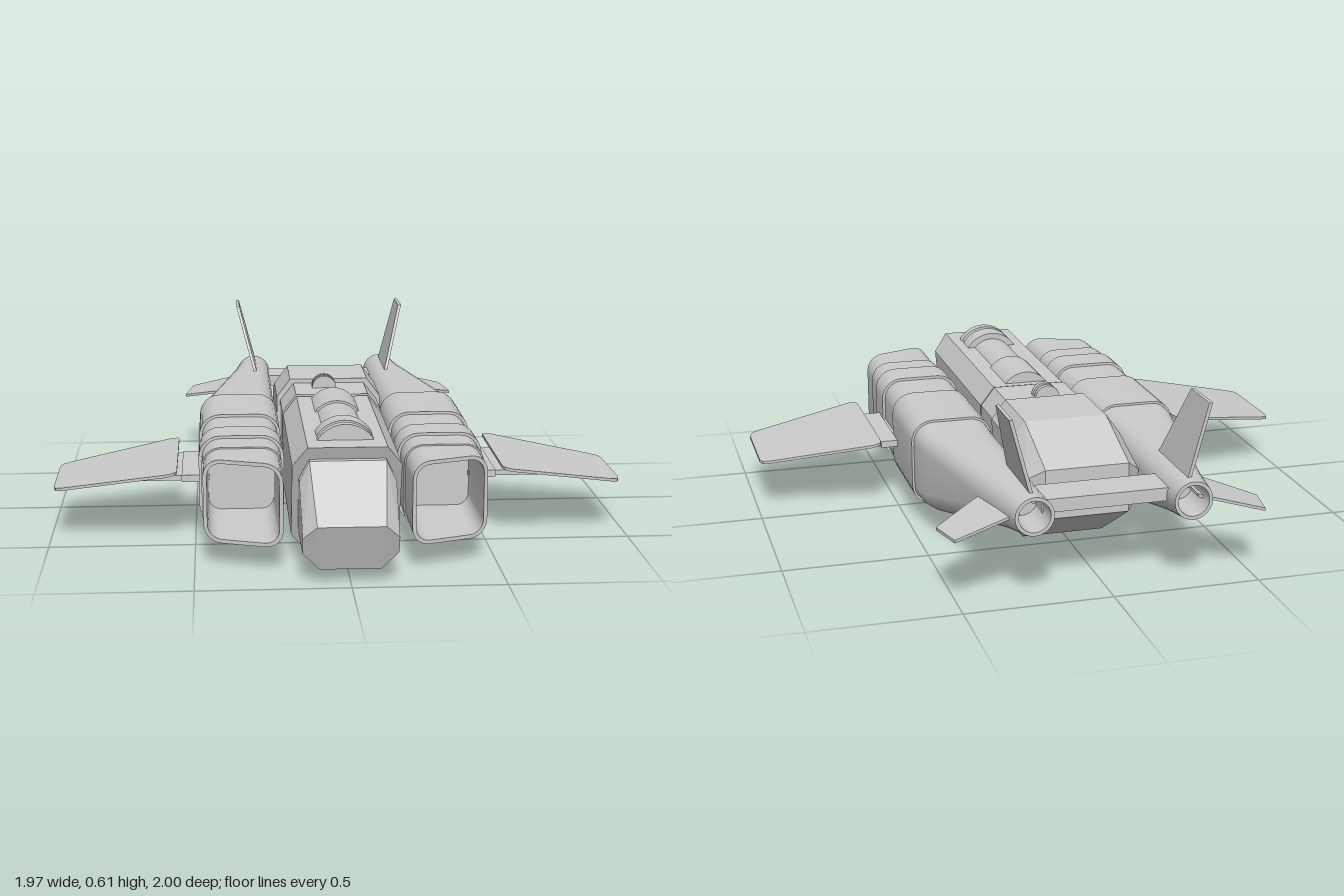
import * as THREE from 'three';
import { toCreasedNormals } from 'three/addons/utils/BufferGeometryUtils.js';
import { ConvexGeometry } from 'three/addons/geometries/ConvexGeometry.js';

const material = new THREE.MeshStandardMaterial({ color: 0xcccccc });

// Rounded-rectangle ring, counter-clockwise seen from +z; tilt slants z across the width
function ring(z, x0, x1, y0, y1, r, tilt = 0) {
  const pts = [], n = 6;
  const corners = [[x1 - r, y1 - r], [x0 + r, y1 - r], [x0 + r, y0 + r], [x1 - r, y0 + r]];
  corners.forEach(([cx, cy], k) => {
    for (let i = 0; i <= n; i++) {
      const a = (k + i / n) * Math.PI / 2;
      const x = cx + r * Math.cos(a);
      pts.push(new THREE.Vector3(x, cy + r * Math.sin(a), z + tilt * (x - 0.2)));
    }
  });
  return pts;
}

// Skin through a list of rings, closed with a fan at both ends
function loft(rings) {
  const n = rings[0].length, pos = [];
  const tri = (...v) => v.forEach((p) => pos.push(p.x, p.y, p.z));
  const centre = (r) => r.reduce((s, p) => s.add(p), new THREE.Vector3()).divideScalar(n);
  const first = rings[0], last = rings[rings.length - 1];
  const c0 = centre(first), c1 = centre(last);
  for (let j = 0; j < n; j++) {
    const k = (j + 1) % n;
    tri(c0, first[j], first[k]);
    tri(c1, last[k], last[j]);
    for (let i = 0; i + 1 < rings.length; i++) {
      const a = rings[i], b = rings[i + 1];
      tri(a[j], b[j], a[k]);
      tri(a[k], b[j], b[k]);
    }
  }
  const g = new THREE.BufferGeometry();
  g.setAttribute('position', new THREE.Float32BufferAttribute(pos, 3));
  return toCreasedNormals(g, 0.5);
}

// Convex solid from the points of its left half
function solid(half) {
  return new ConvexGeometry(half.flatMap(([x, y, z]) => [
    new THREE.Vector3(x, y, z), new THREE.Vector3(-x, y, z)]));
}

// Left half of an eight-sided section; zAt gives z for a height
function octagon(w, flat, y0, y1, chamfer, zAt) {
  return [[flat, y1], [w, y1 - chamfer], [w, y0 + chamfer], [flat, y0]]
    .map(([x, y]) => [x, y, zAt(y)]);
}

function prism(w, flat, y0, y1, chamfer, zFront, zBack) {
  return solid([...octagon(w, flat, y0, y1, chamfer, () => zFront),
    ...octagon(w, flat, y0, y1, chamfer, () => zBack)]);
}

function extrude(points, depth) {
  const shape = new THREE.Shape(points.map(([a, b]) => new THREE.Vector2(a, b)));
  return new THREE.ExtrudeGeometry(shape, { depth, bevelEnabled: false });
}

// Thin plate drawn in (x, z), sloping in y along x
function wingPlate(points, thick, x0, y0, slope) {
  const g = extrude(points.map(([x, z]) => [x, -z]), thick).rotateX(-Math.PI / 2);
  const p = g.attributes.position;
  for (let i = 0; i < p.count; i++) p.setY(i, p.getY(i) - thick / 2 + y0 + slope * (p.getX(i) - x0));
  g.computeVertexNormals();
  return g;
}

// Thin plate drawn in (z, y), leaning in x along y
function finPlate(points, thick, x0, y0, slope) {
  const g = extrude(points.map(([z, y]) => [-z, y]), thick).rotateY(Math.PI / 2);
  const p = g.attributes.position;
  for (let i = 0; i < p.count; i++) p.setX(i, p.getX(i) - thick / 2 + x0 + slope * (p.getY(i) - y0));
  g.computeVertexNormals();
  return g;
}

// Mirrored copy across x = 0 with the winding kept outward
function mirrored(source) {
  const g = source.index ? source.toNonIndexed() : source.clone();
  for (const name of ['position', 'normal']) {
    const a = g.attributes[name];
    for (let i = 0; i < a.count; i += 3) {
      const v = [0, 2, 1].map((k) => [-a.getX(i + k), a.getY(i + k), a.getZ(i + k)]);
      v.forEach((q, k) => a.setXYZ(i + k, ...q));
    }
  }
  return g;
}

export function createModel() {
  const model = new THREE.Group();
  model.name = 'dropship';
  const add = (name, geometry) => {
    const mesh = new THREE.Mesh(geometry, material);
    mesh.name = name;
    model.add(mesh);
  };
  const addPair = (name, geometry) => {
    add(name + 'Left', geometry);
    add(name + 'Right', mirrored(geometry));
  };

  // Fuselage: faceted nose, slanted front hull, recessed joint, mid and rear hull
  add('nose', solid([
    [0.125, 0.37, 0.82], [0.11, 0.2, 1], [0.1, 0.045, 0.945],
    [0.158, 0.3, 0.82], [0.155, 0.155, 0.97], [0.155, 0.1, 0.95],
    [0.125, 0.37, 0.6], [0.158, 0.3, 0.6], [0.158, 0.1, 0.6], [0.1, 0.045, 0.6],
  ]));
  add('frontHull', solid([
    ...octagon(0.18, 0.13, 0.022, 0.412, 0.065, (y) => 0.66 + (y - 0.022) * 0.385),
    ...octagon(0.18, 0.13, 0.022, 0.412, 0.065, () => 0.03),
  ]));
  add('hullJoint', prism(0.17, 0.12, 0.032, 0.402, 0.065, 0.035, 0.01));
  add('midHull', prism(0.182, 0.132, 0.018, 0.416, 0.065, 0.015, -0.2));
  add('rearHull', solid([
    ...octagon(0.195, 0.145, 0, 0.432, 0.068, () => -0.19),
    [0.145, 0.432, -0.45], [0.195, 0.364, -0.45],
    [0.145, 0, -0.42], [0.195, 0.068, -0.42],
    [0.145, 0.342, -0.705], [0.195, 0.3, -0.655],
    [0.145, 0.17, -0.705], [0.195, 0.205, -0.655],
  ]));

  // Sunken stepped cylinder along the top of the front hull
  const drums = [[0.71, 0.675, 0.11], [0.675, 0.65, 0.09], [0.65, 0.57, 0.11],
    [0.57, 0.285, 0.088], [0.285, 0.06, 0.096]];
  drums.forEach(([z0, z1, r], i) => add('roofDrum' + (i + 1),
    new THREE.CylinderGeometry(r, r, z0 - z1, 40).rotateX(Math.PI / 2)
      .translate(0, 0.355, (z0 + z1) / 2)));

  // Two small upright discs behind the joint
  for (const z of [-0.11, -0.147]) {
    add('roofDisc', new THREE.CylinderGeometry(0.045, 0.045, 0.02, 28).rotateX(Math.PI / 2)
      .translate(-0.021, 0.415, z));
  }

  // Engine nacelle: intake duct, banded body, taper to a round open nozzle
  const body = (z, d, tilt) => ring(z, 0.205 - d, 0.475 + d, 0.075 - d, 0.367 + d, 0.065 + d, tilt);
  const slant = -0.37;
  const rings = [
    body(0.4, -0.022), body(0.83, -0.018, slant), body(0.83, -0.005, slant),
    body(0.605, -0.005), body(0.605, 0), body(0.48, 0),
    body(0.48, 0.01), body(0.345, 0.01), body(0.345, 0), body(0.155, 0),
    body(0.155, 0.01), body(-0.185, 0.01), body(-0.185, 0.002),
    ring(-0.24, 0.204, 0.473, 0.075, 0.367, 0.066),
    ring(-0.31, 0.203, 0.46, 0.08, 0.367, 0.07),
    ring(-0.85, 0.2, 0.354, 0.208, 0.367, 0.072),
    ring(-1, 0.2, 0.33, 0.237, 0.367, 0.0649),
    ring(-1, 0.212, 0.318, 0.249, 0.355, 0.0529),
    ring(-0.85, 0.215, 0.315, 0.252, 0.352, 0.0499),
  ];
  addPair('nacelle', loft(rings));

  // Drooping wing and the mount that carries it
  addPair('wing', wingPlate([
    [0.56, 0.47], [0.567, 0.49], [0.592, 0.5], [0.955, 0.432], [0.977, 0.42], [0.986, 0.39],
    [0.986, 0.108], [0.977, 0.083], [0.953, 0.07], [0.592, -0.027], [0.567, -0.02], [0.56, 0],
  ], 0.01, 0.56, 0.249, -0.162));
  addPair('wingMount', new THREE.BoxGeometry(0.28, 0.018, 0.325).translate(0.59, 0.213, 0.247));
  addPair('wingMountCollar', new THREE.BoxGeometry(0.06, 0.024, 0.345).translate(0.515, 0.213, 0.247));

  // Tail: leaning fins, small drooping tailplanes and the bar joining the nacelles
  addPair('tailFin', finPlate([
    [-0.66, 0.33], [-0.79, 0.612], [-0.955, 0.612], [-0.955, 0.33],
  ], 0.012, 0.265, 0.365, 0.265));
  addPair('tailplane', wingPlate([
    [0.3, -0.66], [0.548, -0.842], [0.52, -0.985], [0.3, -0.948],
  ], 0.01, 0.33, 0.29, -0.26));
  add('tailBar', new THREE.BoxGeometry(0.44, 0.045, 0.14).translate(0, 0.303, -0.852));

  return model;
}
